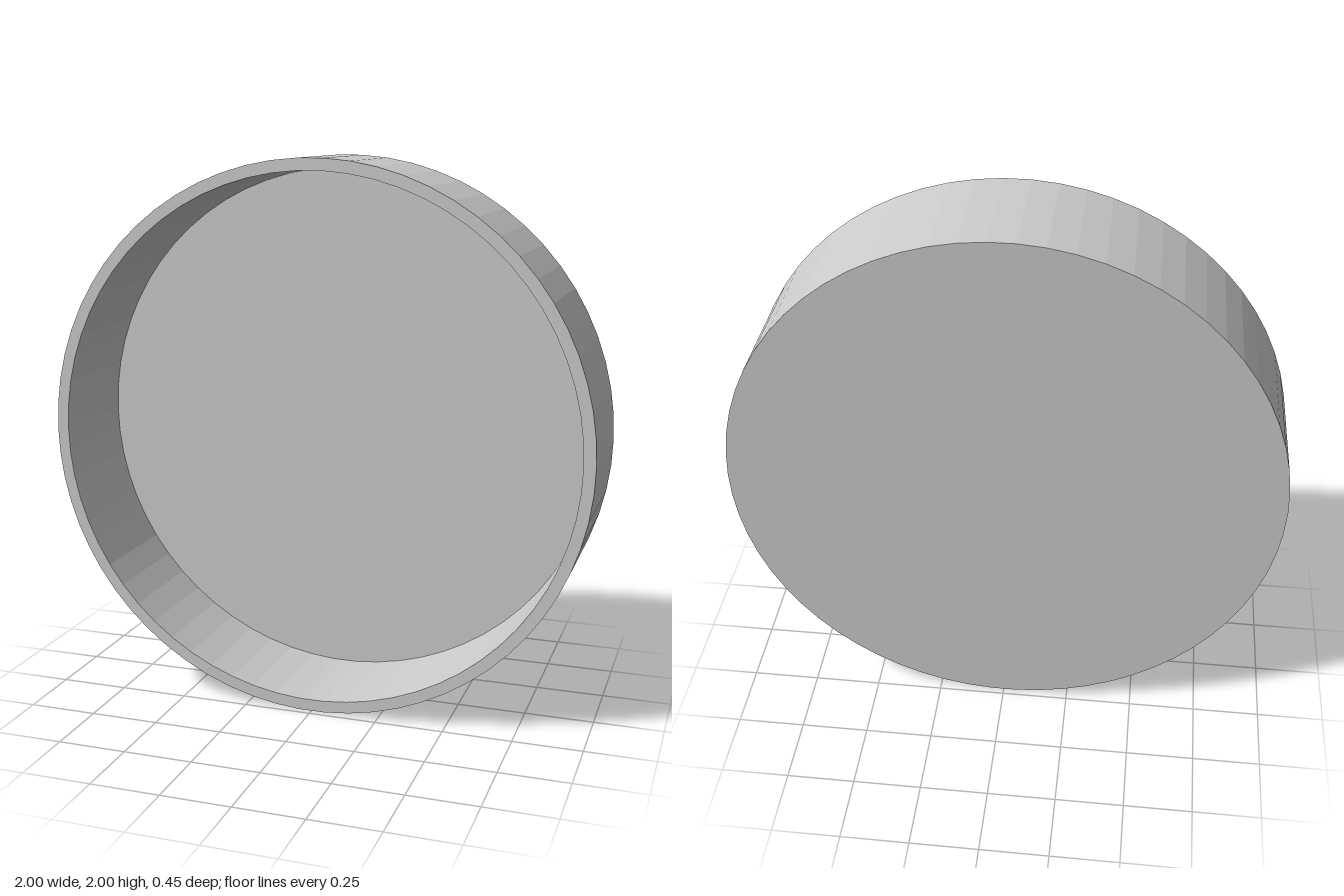
import * as THREE from 'three';

// Shallow round dish standing on its edge, open towards +z
export function createModel() {
  const group = new THREE.Group();
  const segments = 66;
  const radius = 1, wall = 0.043, half = 0.225;
  const inner = radius - wall, floor = -half + wall;

  // Closed section: back disc, outer wall, rim, inner wall, inner floor
  const profile = [
    [0, -half], [radius, -half], [radius, half],
    [inner, half], [inner, floor], [0, floor],
  ].map(([r, h]) => new THREE.Vector2(r, h));

  const geometry = new THREE.LatheGeometry(profile, segments, Math.PI / 2);
  geometry.rotateX(Math.PI / 2);
  // Rest the lowest facet on the ground
  geometry.translate(0, radius * Math.cos(Math.PI / segments), 0);

  const dish = new THREE.Mesh(
    geometry,
    new THREE.MeshStandardMaterial({ color: 0xcccccc, flatShading: true }),
  );
  dish.name = 'roundDish';
  group.add(dish);
  return group;
}
